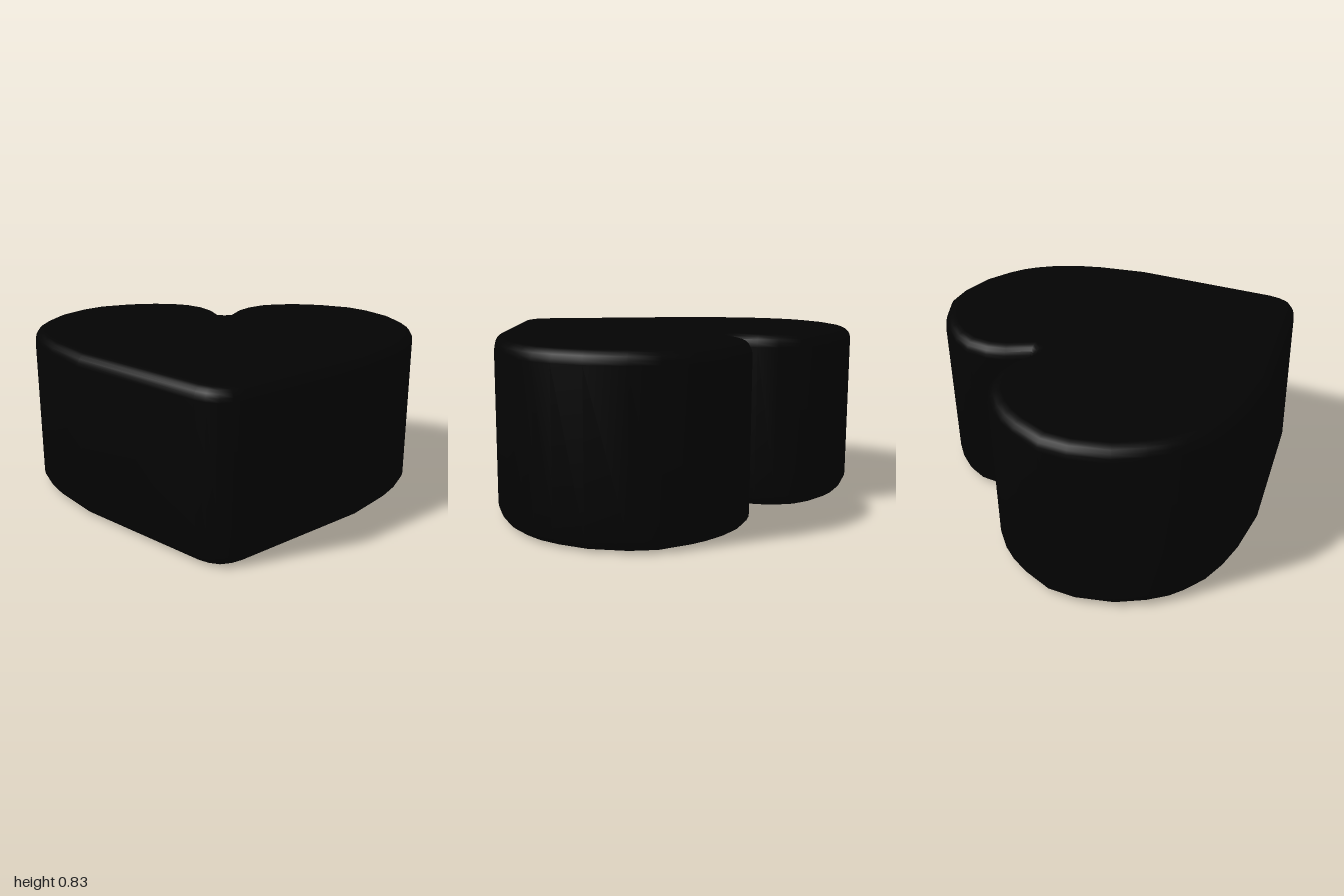
import * as THREE from 'three';
import { toCreasedNormals } from 'three/addons/utils/BufferGeometryUtils.js';

const HEIGHT = 0.83, BEVEL = 0.06;

// Right half of the heart outline (x, z), from the notch round to the tip
const HALF = [
  [0.015, -0.57], [0.055, -0.68], [0.11, -0.76], [0.2, -0.83], [0.3, -0.862], [0.41, -0.87],
  [0.5, -0.862], [0.59, -0.84], [0.74, -0.78], [0.84, -0.69], [0.94, -0.54], [0.985, -0.4],
  [1, -0.3], [0.995, -0.22], [0.97, -0.1], [0.915, 0.02], [0.845, 0.13], [0.68, 0.33],
  [0.11, 0.82], [0.06, 0.85],
];

function heartShape() {
  const mirrored = HALF.map(([x, z]) => [-x, z]).reverse();
  const outline = [[0, -0.565], ...HALF, [0, 0.865], ...mirrored];
  return new THREE.Shape(outline.map(([x, z]) => new THREE.Vector2(x, z)));
}

function heartGeometry() {
  // The rounded rim is cut inward so the outline stays the widest section
  const extruded = new THREE.ExtrudeGeometry(heartShape(), {
    depth: HEIGHT - 2 * BEVEL, bevelEnabled: true, bevelSize: BEVEL,
    bevelThickness: BEVEL, bevelOffset: -BEVEL, bevelSegments: 5,
  });
  extruded.rotateX(Math.PI / 2).translate(0, HEIGHT - BEVEL, 0);
  const geometry = toCreasedNormals(extruded, 0.7);

  // Keep the top and bottom faces flat, with the rim blending into them
  const { position, normal } = geometry.attributes;
  for (let i = 0; i < position.count; i++) {
    const y = position.getY(i);
    if (y < 1e-4) normal.setXYZ(i, 0, -1, 0);
    else if (y > HEIGHT - 1e-4) normal.setXYZ(i, 0, 1, 0);
  }
  return geometry;
}

export function createModel() {
  const group = new THREE.Group();
  group.name = 'heart';
  const body = new THREE.Mesh(heartGeometry(), new THREE.MeshStandardMaterial({ color: 0x030303 }));
  body.name = 'heartBody';
  group.add(body);
  return group;
}
